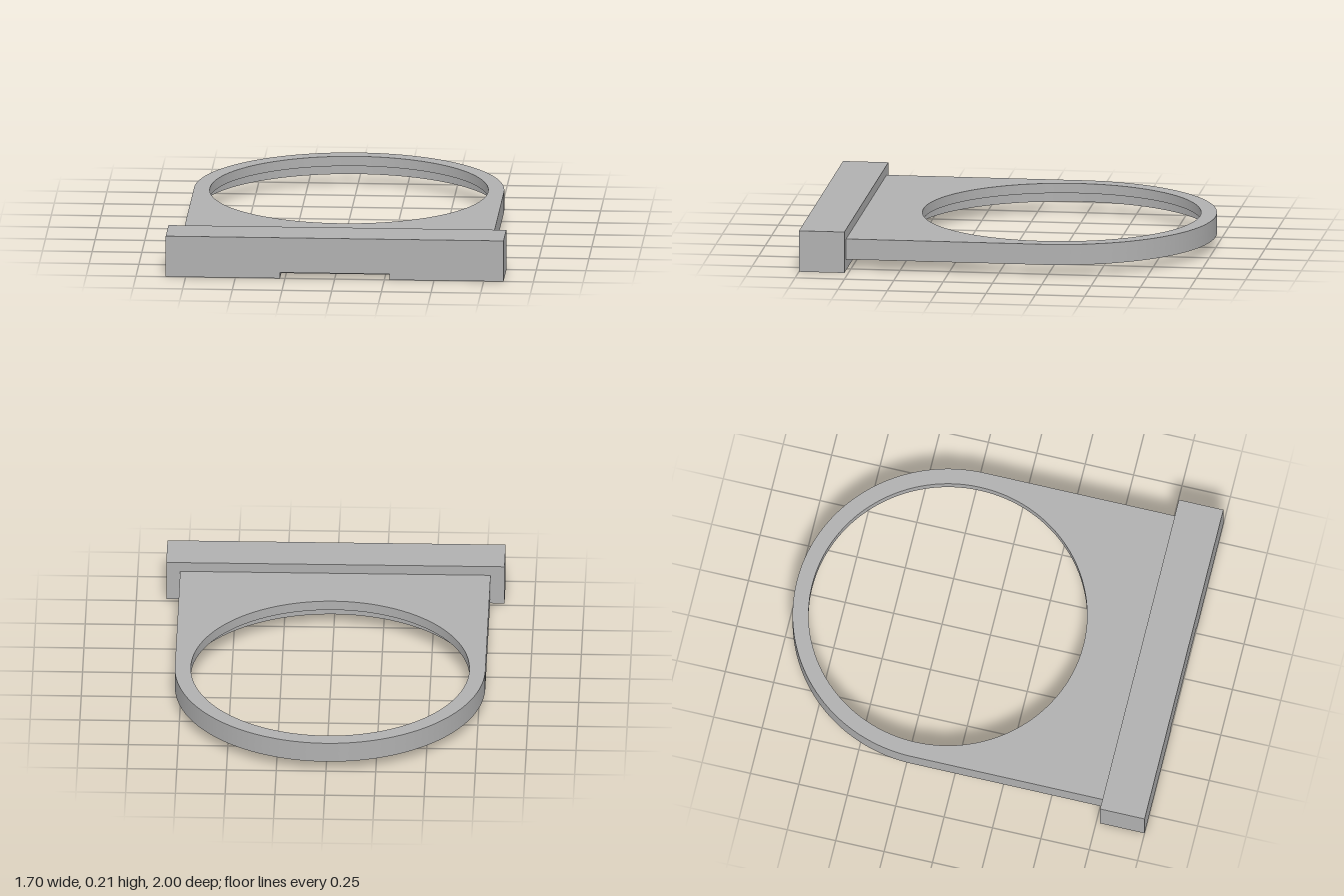
import * as THREE from 'three';
import { toCreasedNormals } from 'three/addons/utils/BufferGeometryUtils.js';

const RING_Z = -0.22, OUTER_R = 0.78, BAR_BACK = 0.77;

// Horizontal plate layer: straight sides, round back end, circular opening
function plateLayer(holeRadius, y, height) {
  const shape = new THREE.Shape();
  shape.moveTo(-OUTER_R, -BAR_BACK);
  shape.lineTo(OUTER_R, -BAR_BACK);
  shape.lineTo(OUTER_R, -RING_Z);
  shape.absarc(0, -RING_Z, OUTER_R, 0, Math.PI, false);
  shape.closePath();
  const hole = new THREE.Path();
  hole.absarc(0, -RING_Z, holeRadius, 0, Math.PI * 2, true);
  shape.holes.push(hole);
  const geo = new THREE.ExtrudeGeometry(shape, { depth: height, bevelEnabled: false, curveSegments: 64 });
  geo.rotateX(-Math.PI / 2);
  geo.translate(0, y, 0);
  return toCreasedNormals(geo, 0.5);
}

export function createModel() {
  const group = new THREE.Group();
  const grey = new THREE.MeshStandardMaterial({ color: 0xb0b0b0 });
  grey.name = 'grey';
  const add = (name, geo) => {
    const mesh = new THREE.Mesh(geo, grey);
    mesh.name = name;
    group.add(mesh);
  };

  // Holder plate: narrow lip above, wider recess below
  add('plateWithLip', plateLayer(0.70, 0.11, 0.05));
  add('plateWithRecess', plateLayer(0.755, 0.055, 0.055));

  // Front half of the grip bar, with a shallow finger notch underneath
  const w = 0.85, h = 0.21, n = 0.275, nh = 0.03, notchDepth = 0.11;
  const profile = new THREE.Shape([
    [-w, 0], [-n, 0], [-n, nh], [n, nh], [n, 0], [w, 0], [w, h], [-w, h],
  ].map(([x, y]) => new THREE.Vector2(x, y)));
  const front = new THREE.ExtrudeGeometry(profile, { depth: notchDepth, bevelEnabled: false });
  front.translate(0, 0, 1 - notchDepth);
  add('gripBarFront', front);

  // Solid back half of the grip bar
  const backDepth = 1 - notchDepth - BAR_BACK;
  const back = new THREE.BoxGeometry(w * 2, h, backDepth);
  back.translate(0, h / 2, BAR_BACK + backDepth / 2);
  add('gripBarBack', back);

  return group;
}
